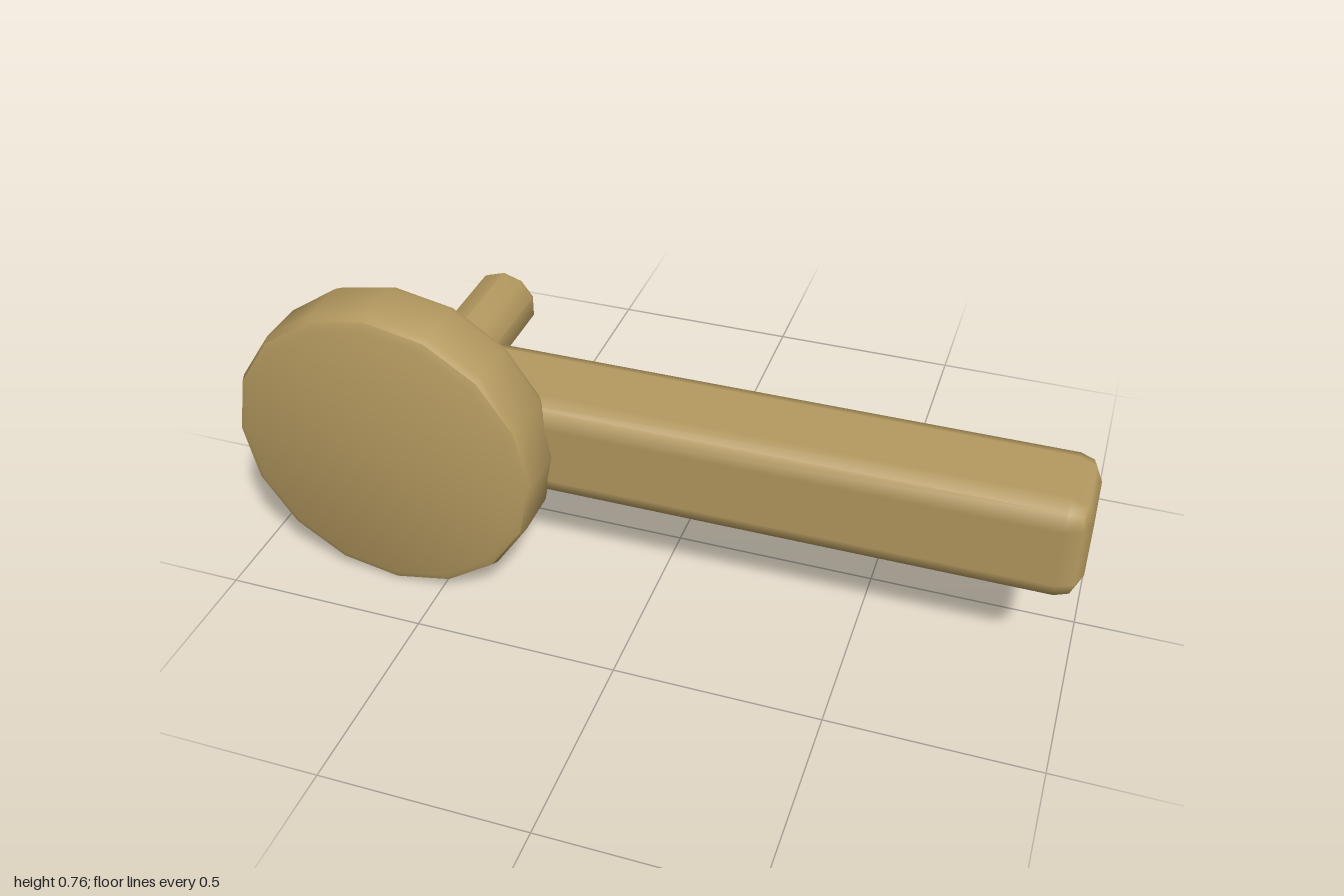
import * as THREE from 'three';
import { toCreasedNormals } from 'three/addons/utils/BufferGeometryUtils.js';
import { RoundedBoxGeometry } from 'three/addons/geometries/RoundedBoxGeometry.js';

const AXIS_X = -0.62;
const AXIS_Y = 0.383;

// Low-poly disc along z with a two-step rounded rim at both ends
function roundedDisc(radius, zBack, zFront, bevel, sides) {
  const points = [new THREE.Vector2(0, zBack)];
  for (let i = 0; i <= 2; i++) {
    const a = (i * Math.PI) / 4;
    points.push(new THREE.Vector2(radius - bevel + bevel * Math.sin(a), zBack + bevel - bevel * Math.cos(a)));
  }
  for (let i = 2; i >= 0; i--) {
    const a = (i * Math.PI) / 4;
    points.push(new THREE.Vector2(radius - bevel + bevel * Math.sin(a), zFront - bevel + bevel * Math.cos(a)));
  }
  points.push(new THREE.Vector2(0, zFront));
  const geometry = new THREE.LatheGeometry(points, sides);
  geometry.rotateX(Math.PI / 2);
  return toCreasedNormals(geometry, 0.7);
}

export function createModel() {
  const model = new THREE.Group();
  model.name = 'doorHandle';
  const brass = new THREE.MeshStandardMaterial({ color: 0xb59a60 });
  brass.name = 'brass';

  const add = (name, geometry, x, y, z) => {
    const mesh = new THREE.Mesh(geometry, brass);
    mesh.name = name;
    mesh.position.set(x, y, z);
    model.add(mesh);
  };

  // Round plate at the front
  add('roundPlate', roundedDisc(0.381, 0.2, 0.375, 0.028, 16), AXIS_X, AXIS_Y, 0);

  // Spindle running back from the plate
  add('spindle', roundedDisc(0.0875, -0.375, 0.22, 0.012, 10), AXIS_X, AXIS_Y, 0);

  // Lever bar with softened edges
  add('leverBar', new RoundedBoxGeometry(1.613, 0.264, 0.264, 1, 0.057), 0.1935, AXIS_Y + 0.001, 0.111);

  return model;
}
